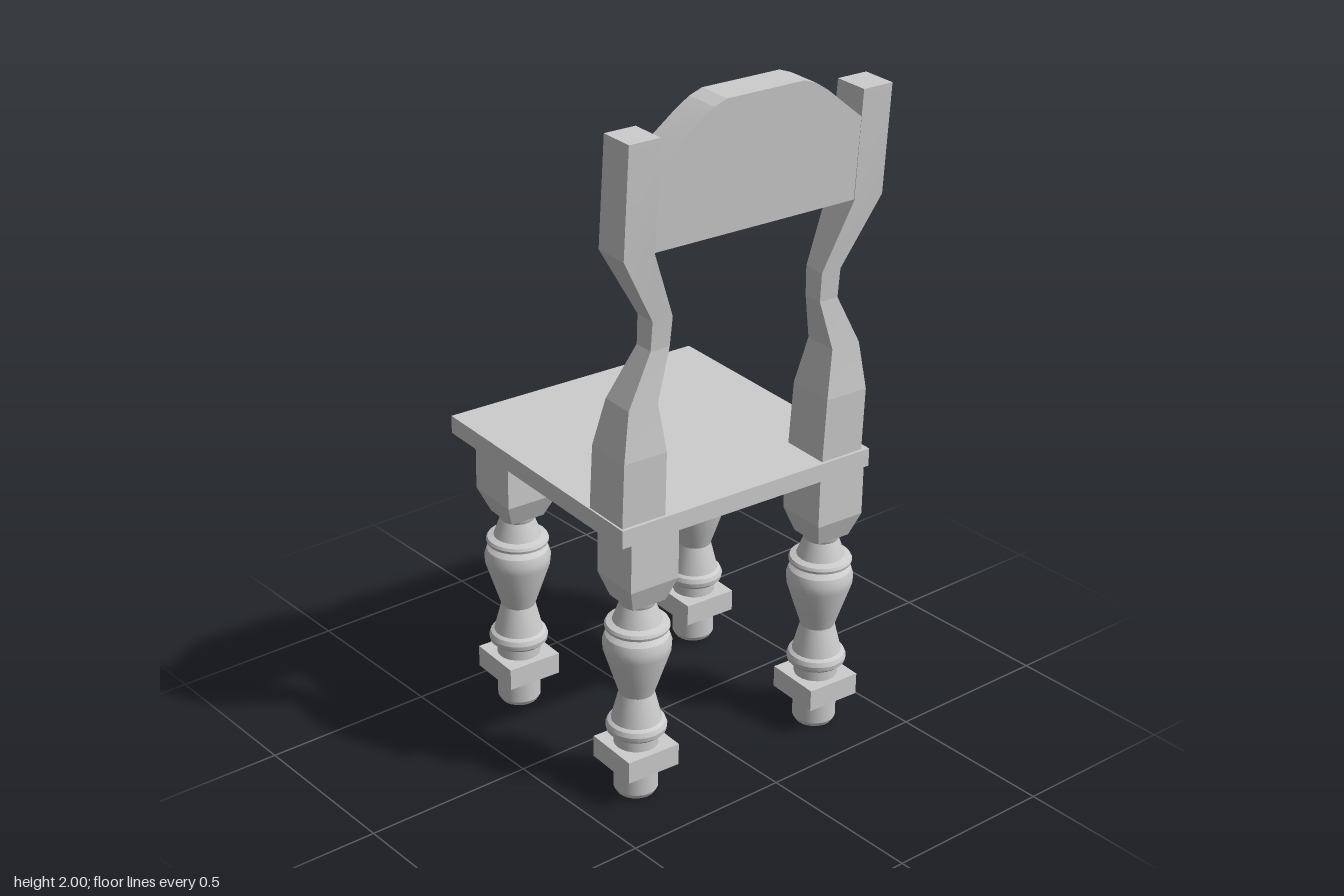
import * as THREE from 'three';
import { toCreasedNormals } from 'three/addons/utils/BufferGeometryUtils.js';

const material = new THREE.MeshStandardMaterial({ color: 0xcccccc });

function part(name, geometry, parent, crease = 0.5) {
  const mesh = new THREE.Mesh(toCreasedNormals(geometry, crease), material);
  mesh.name = name;
  parent.add(mesh);
  return mesh;
}

// Four-sided bar through rows of [y, x0, x1, z0, z1], bottom to top
function barGeometry(rows) {
  const n = rows.length - 1;
  const geometry = new THREE.BoxGeometry(1, 1, 1, 1, n, 1);
  const p = geometry.attributes.position;
  for (let i = 0; i < p.count; i++) {
    const [y, x0, x1, z0, z1] = rows[Math.round((p.getY(i) + 0.5) * n)];
    p.setXYZ(i, p.getX(i) < 0 ? x0 : x1, y, p.getZ(i) < 0 ? z0 : z1);
  }
  return geometry;
}

// Turned leg: radius and height from the foot up
const LEG_PROFILE = [
  [0, 0], [0.054, 0], [0.062, 0.014], [0.062, 0.185], [0.072, 0.19],
  [0.083, 0.2], [0.085, 0.213], [0.08, 0.226], [0.07, 0.232], [0.049, 0.315],
  [0.062, 0.355], [0.093, 0.45], [0.095, 0.475], [0.088, 0.497], [0.073, 0.51],
  [0.088, 0.518], [0.09, 0.526], [0.086, 0.534], [0.068, 0.54],
  [0.049, 0.592], [0.053, 0.602], [0.053, 0.615], [0, 0.615],
].map(([r, y]) => new THREE.Vector2(r, y));

function makeLeg(name, x, z, half) {
  const leg = new THREE.Group();
  leg.name = name;
  leg.position.set(x, 0, z);
  part('turnedShaft', new THREE.LatheGeometry(LEG_PROFILE, 24), leg);
  part('footBlock', new THREE.BoxGeometry(0.167, 0.065, 0.167).translate(0, 0.123, 0), leg);
  // Square upper block tapering down to the shaft
  const square = (y, h) => [y, -h, h, -h, h];
  part('upperBlock', barGeometry([square(0.605, 0.053), square(0.675, half), square(0.825, half)]), leg, 0.1);
  return leg;
}

// Back post rows: height, front x, back x, inner z, outer z
const POST_ROWS = [
  [0.86, 0.239, 0.386, 0.264, 0.402],
  [1.06, 0.25, 0.393, 0.267, 0.402],
  [1.2, 0.279, 0.38, 0.288, 0.38],
  [1.345, 0.31, 0.37, 0.246, 0.306],
  [1.43, 0.312, 0.377, 0.243, 0.306],
  [1.625, 0.296, 0.403, 0.32, 0.415],
  [1.935, 0.317, 0.421, 0.32, 0.415],
];

export function createModel() {
  const chair = new THREE.Group();
  chair.name = 'chair';

  part('seat', new THREE.BoxGeometry(0.826, 0.053, 0.831).translate(-0.0175, 0.846, 0), chair);

  for (const side of [1, -1]) {
    const label = side > 0 ? 'Left' : 'Right';
    chair.add(makeLeg('frontLeg' + label, -0.265, side * 0.316 - 0.008, 0.082));
    chair.add(makeLeg('backLeg' + label, 0.316, side * 0.316 - 0.008, 0.077));
    // Mirrored posts keep the z range in rising order
    const rows = POST_ROWS.map(([y, x0, x1, zi, zo]) =>
      side > 0 ? [y, x0, x1, zi, zo] : [y, x0, x1, -zo, -zi]);
    part('backPost' + label, barGeometry(rows), chair, 0.1).position.z = 0.008;
  }

  // Crest rail: arched board leaning back with the posts
  const outline = new THREE.Shape([
    [-0.33, 1.628], [0.33, 1.628], [0.33, 1.858], [0.318, 1.862], [0.2, 1.957], [0.16, 1.983],
    [0.122, 1.997], [-0.122, 1.997], [-0.16, 1.983], [-0.2, 1.957], [-0.318, 1.862], [-0.33, 1.858],
  ].map(([z, y]) => new THREE.Vector2(z, y)));
  const rail = new THREE.ExtrudeGeometry(outline, { depth: 0.102, bevelEnabled: false });
  rail.rotateY(Math.PI / 2);
  const p = rail.attributes.position;
  for (let i = 0; i < p.count; i++) p.setX(i, p.getX(i) + 0.299 + (p.getY(i) - 1.625) * 0.063);
  part('crestRail', rail, chair, 0.2).position.z = 0.009;

  // The whole chair is turned a little and leans slightly back
  chair.rotation.set(0, -0.054, -0.021);
  chair.rotation.order = 'YXZ';
  chair.position.set(-0.025, 0.007, -0.0075);

  const model = new THREE.Group();
  model.name = 'model';
  model.add(chair);
  return model;
}
